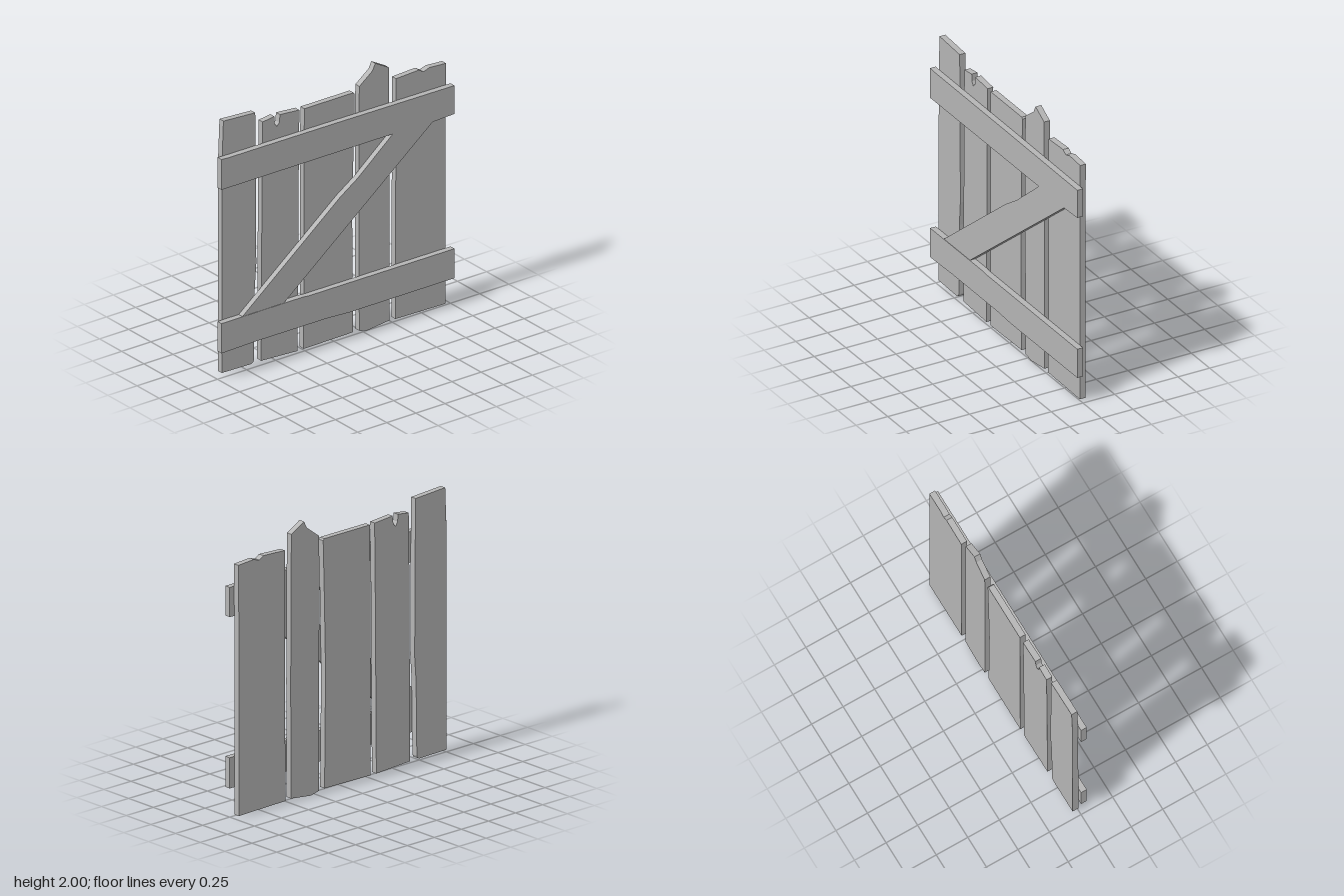
import * as THREE from 'three';

const wood = new THREE.MeshStandardMaterial({ color: 0xb4b4b4 });
wood.name = 'greyWood';

// Flat board cut from an outline, spanning z0..z0 + depth
function board(name, outline, z0, depth) {
  const shape = new THREE.Shape(outline.map(([x, y]) => new THREE.Vector2(x, y)));
  const geometry = new THREE.ExtrudeGeometry(shape, { depth, bevelEnabled: false });
  geometry.translate(0, 0, z0);
  const mesh = new THREE.Mesh(geometry, wood);
  mesh.name = name;
  return mesh;
}

// Weathered upright planks, from the model's right to its left
const planks = {
  tallPlank: [[-0.963, 0.04], [-0.71, 0.035], [-0.695, 0.042], [-0.687, 0.06], [-0.68, 0.6],
    [-0.667, 0.78], [-0.67, 1.45], [-0.676, 1.923], [-0.949, 1.938], [-0.959, 1.68], [-0.963, 0.6]],
  notchedPlank: [[-0.625, 0.035], [-0.313, 0.02], [-0.302, 1.45], [-0.297, 1.835], [-0.463, 1.848],
    [-0.47, 1.79], [-0.49, 1.765], [-0.51, 1.795], [-0.512, 1.848], [-0.612, 1.835], [-0.617, 1.45], [-0.622, 0.7]],
  widePlank: [[-0.26, 0.02], [0.165, 0.025], [0.156, 0.87], [0.168, 1.45], [0.178, 1.82],
    [0.168, 1.832], [-0.254, 1.832], [-0.258, 1.45]],
  pointedPlank: [[0.217, 0.02], [0.29, 0.003], [0.37, 0.012], [0.475, 0.025], [0.478, 0.87],
    [0.472, 1.935], [0.355, 2], [0.33, 1.95], [0.218, 1.865], [0.213, 1.67]],
  chippedPlank: [[0.527, 0.02], [0.957, 0.012], [0.957, 1.45], [0.962, 1.826], [0.82, 1.835],
    [0.767, 1.818], [0.73, 1.842], [0.532, 1.833]],
};

// Horizontal rails and the diagonal between them
const rails = {
  topRail: [[-1, 1.45], [0.48, 1.45], [0.82, 1.443], [1, 1.45], [1, 1.664], [0, 1.672], [-0.95, 1.676], [-1, 1.68]],
  bottomRail: [[-1, 0.215], [-0.7, 0.222], [-0.1, 0.22], [0.1, 0.21], [1, 0.21], [1, 0.432],
    [-0.25, 0.435], [-0.3, 0.44], [-1, 0.44]],
};
const brace = [[-0.82, 0.438], [-0.465, 0.438], [0.82, 1.445], [0.475, 1.45], [0.17, 1.2], [0.02, 1.1]];

export function createModel() {
  const model = new THREE.Group();
  model.name = 'plankGate';
  for (const [name, outline] of Object.entries(planks)) model.add(board(name, outline, -0.045, 0.045));
  for (const [name, outline] of Object.entries(rails)) model.add(board(name, outline, 0, 0.045));
  model.add(board('diagonalBrace', brace, 0, 0.042));
  return model;
}
